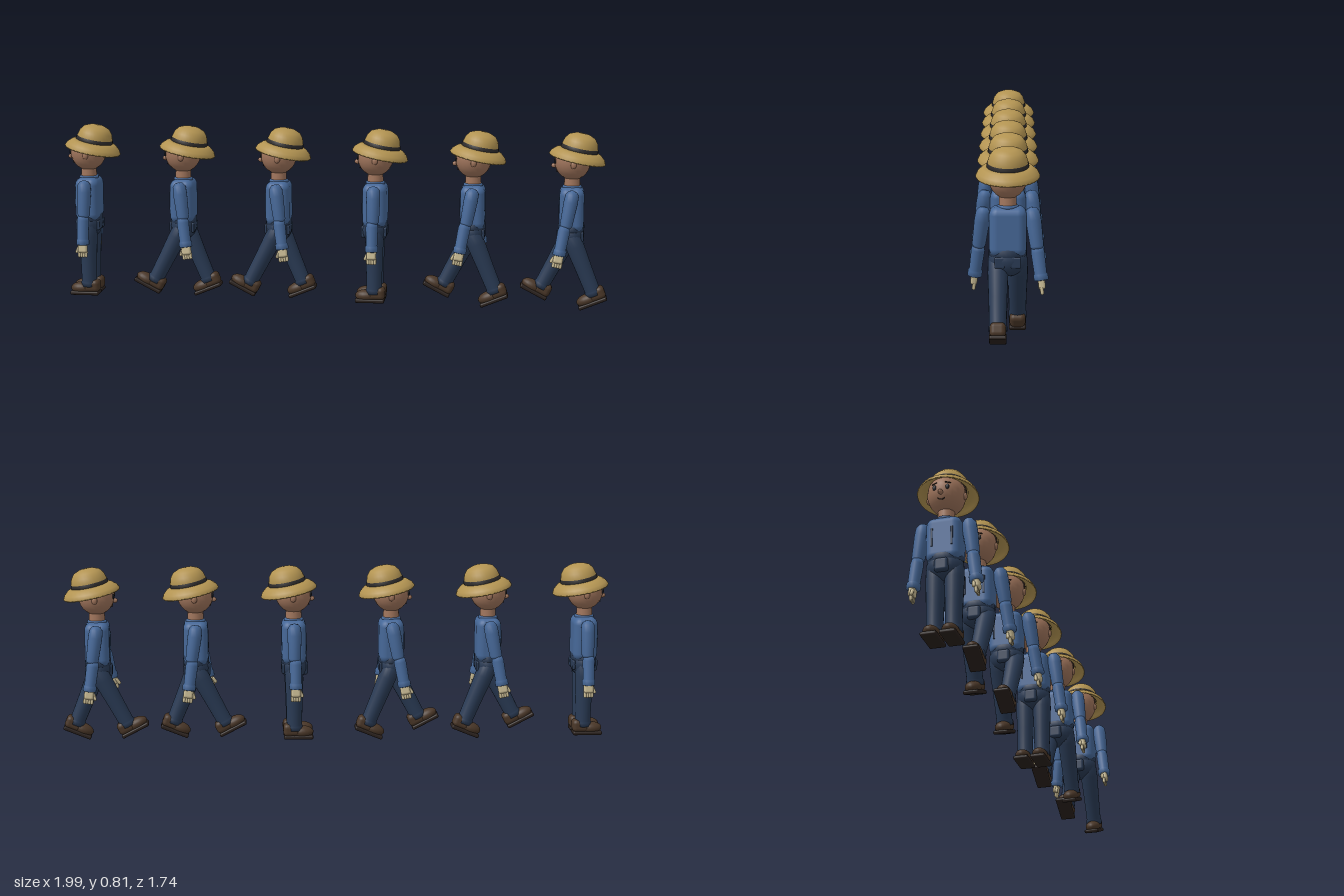
import * as THREE from 'three';
import { RoundedBoxGeometry } from 'three/addons/geometries/RoundedBoxGeometry.js';

const mat = (color, side = THREE.FrontSide) =>
  new THREE.MeshStandardMaterial({ color, side, roughness: 0.9 });
const M = {
  shirt: mat(0x466898), trousers: mat(0x2a3b55), skin: mat(0xa0755c),
  glove: mat(0xc9bb94), shoe: mat(0x4a3728), sole: mat(0x2a211d),
  straw: mat(0xb39452, THREE.DoubleSide), dark: mat(0x26282e), hair: mat(0x33261f),
  band: mat(0x2e2c2c, THREE.DoubleSide),
};

function add(parent, name, geometry, material, x = 0, y = 0, z = 0) {
  const mesh = new THREE.Mesh(geometry, material);
  mesh.name = name;
  mesh.position.set(x, y, z);
  parent.add(mesh);
  return mesh;
}
function group(parent, name, x = 0, y = 0, z = 0) {
  const g = new THREE.Group();
  g.name = name;
  g.position.set(x, y, z);
  parent.add(g);
  return g;
}
// Profiles run from bottom to top so the surface faces outwards
const lathe = (pts, n = 28) =>
  new THREE.LatheGeometry(pts.map(([r, y]) => new THREE.Vector2(r, y)), n);
const ball = (rx, ry, rz) => new THREE.SphereGeometry(1, 20, 14).scale(rx, ry, rz);
const box = (w, h, d, r) => new RoundedBoxGeometry(w, h, d, 3, r);

// Shared geometry; limbs hang down from their joint at the origin
const G = {
  torso: box(0.152, 0.205, 0.112, 0.035),
  pelvis: ball(0.08, 0.068, 0.06),
  waist: lathe([[0.066, -0.02], [0.077, -0.012], [0.077, 0.012], [0.066, 0.02]]).scale(1, 1, 0.77),
  leg: lathe([[0, -0.29], [0.038, -0.29], [0.038, -0.27], [0.035, -0.265], [0.038, -0.15],
    [0.042, -0.05], [0.04, 0], [0.025, 0.025], [0, 0.03]], 20),
  upperArm: lathe([[0, -0.147], [0.022, -0.145], [0.028, -0.135], [0.032, -0.03],
    [0.03, 0.005], [0.018, 0.022], [0, 0.026]], 18),
  forearm: lathe([[0, -0.274], [0.022, -0.274], [0.03, -0.272], [0.03, -0.25],
    [0.026, -0.245], [0.028, -0.16], [0.024, -0.14], [0, -0.135]], 18),
  palm: box(0.028, 0.045, 0.044, 0.011),
  finger: new THREE.CapsuleGeometry(0.0075, 0.02, 3, 8),
  neck: new THREE.CylinderGeometry(0.034, 0.038, 0.08, 18),
  head: ball(0.08, 0.088, 0.083),
  crown: lathe([[0.084, -0.004], [0.082, 0.022], [0.075, 0.046], [0.06, 0.066], [0.035, 0.077], [0, 0.08]], 32),
  brim: lathe([[0.08, -0.008], [0.1, -0.015], [0.118, -0.03], [0.127, -0.042],
    [0.13, -0.036], [0.122, -0.02], [0.103, -0.003], [0.08, 0.006], [0.08, -0.008]], 32),
  band: lathe([[0.082, 0.001], [0.086, 0.003], [0.084, 0.019], [0.08, 0.021]], 32),
};

function addLeg(body, side, swing) {
  const leg = group(body, side > 0 ? 'leftLeg' : 'rightLeg', side * 0.04, 0.33, 0);
  leg.rotation.x = -swing;
  add(leg, 'trouserLeg', G.leg, M.trousers);
  add(leg, 'shoeHeel', box(0.066, 0.06, 0.078, 0.02), M.shoe, 0, -0.288, -0.012);
  add(leg, 'shoeToe', ball(0.035, 0.028, 0.052), M.shoe, 0, -0.3, 0.036);
  add(leg, 'sole', box(0.07, 0.018, 0.135, 0.007), M.sole, 0, -0.321, 0.019);
}

function addArm(body, side, swing) {
  const arm = group(body, side > 0 ? 'leftArm' : 'rightArm', side * 0.1, 0.525, 0);
  arm.rotation.set(-swing, 0, side * 0.13);
  add(arm, 'upperSleeve', G.upperArm, M.shirt);
  const lower = group(arm, 'forearm', 0, 0, 0.004);
  add(lower, 'lowerSleeve', G.forearm, M.shirt);
  add(lower, 'palm', G.palm, M.glove, 0, -0.287, 0);
  for (let i = 0; i < 4; i++)
    add(lower, 'finger', G.finger, M.glove, -side * 0.003, -0.314, -0.0155 + i * 0.0105);
  const thumb = add(lower, 'thumb', G.finger, M.glove, -side * 0.008, -0.296, 0.025);
  thumb.rotation.x = -0.4;
}

function addHead(body) {
  const head = group(body, 'head', 0, 0.672, 0);
  add(head, 'skull', G.head, M.skin);
  add(head, 'hairBack', ball(0.079, 0.055, 0.065), M.hair, 0, 0.034, -0.022);
  add(head, 'nose', ball(0.01, 0.011, 0.013), M.skin, 0, -0.024, 0.083);
  const mouth = add(head, 'mouth', new THREE.TorusGeometry(0.022, 0.0025, 6, 12, 1.6), M.hair, 0, -0.03, 0.07);
  mouth.rotation.z = -Math.PI / 2 - 0.8;
  for (const s of [-1, 1]) {
    add(head, 'eye', ball(0.008, 0.012, 0.005), M.dark, s * 0.028, 0, 0.078);
    const brow = add(head, 'eyebrow', box(0.024, 0.005, 0.006, 0.002), M.hair, s * 0.029, 0.021, 0.075);
    brow.rotation.set(0, s * 0.35, -s * 0.15);
    add(head, 'ear', ball(0.009, 0.017, 0.013), M.skin, s * 0.079, -0.01, -0.004);
  }
  // Straw hat with a drooping brim, worn tipped back
  const hat = group(body, 'hat', 0, 0.717, -0.028);
  hat.rotation.x = -0.2;
  add(hat, 'hatCrown', G.crown, M.straw);
  add(hat, 'hatBrim', G.brim, M.straw);
  add(hat, 'hatBand', G.band, M.band);
}

// One walker facing +z; stride is +1 for left leg forward, -1 for right, 0 standing
function makeWalker(stride) {
  const body = new THREE.Group();
  body.name = 'walker';
  add(body, 'torso', G.torso, M.shirt, 0, 0.452, 0);
  add(body, 'collar', new THREE.TorusGeometry(0.037, 0.008, 8, 20).rotateX(Math.PI / 2), M.shirt, 0, 0.552, 0);
  add(body, 'neck', G.neck, M.skin, 0, 0.575, 0);
  add(body, 'waistband', G.waist, M.trousers, 0, 0.366, 0);
  add(body, 'pelvis', G.pelvis, M.trousers, 0, 0.335, 0);
  add(body, 'frontPouch', box(0.06, 0.06, 0.03, 0.013), M.trousers, 0, 0.325, 0.05);
  for (const s of [-1, 1]) {
    add(body, 'strapClip', box(0.009, 0.085, 0.006, 0.002), M.trousers, s * 0.043, 0.455, 0.055);
    add(body, 'backPocket', box(0.042, 0.045, 0.014, 0.006), M.trousers, s * 0.033, 0.33, -0.05);
    const f = s * stride;
    addLeg(body, s, f > 0 ? 0.48 : f < 0 ? -0.39 : 0);
    addArm(body, s, f > 0 ? -0.14 : f < 0 ? 0.18 : 0);
  }
  addHead(body);
  return body;
}

export function createModel() {
  const model = new THREE.Group();
  model.name = 'walkersInLine';
  // Diagonal file, everyone facing along the line
  [0, 1, 1, 0, -1, -1].forEach((stride, i) => {
    const walker = makeWalker(stride);
    walker.position.set(-0.872 + 0.34 * i, 0, 0.727 - 0.29 * i);
    walker.rotation.y = -0.863;
    model.add(walker);
  });
  return model;
}
